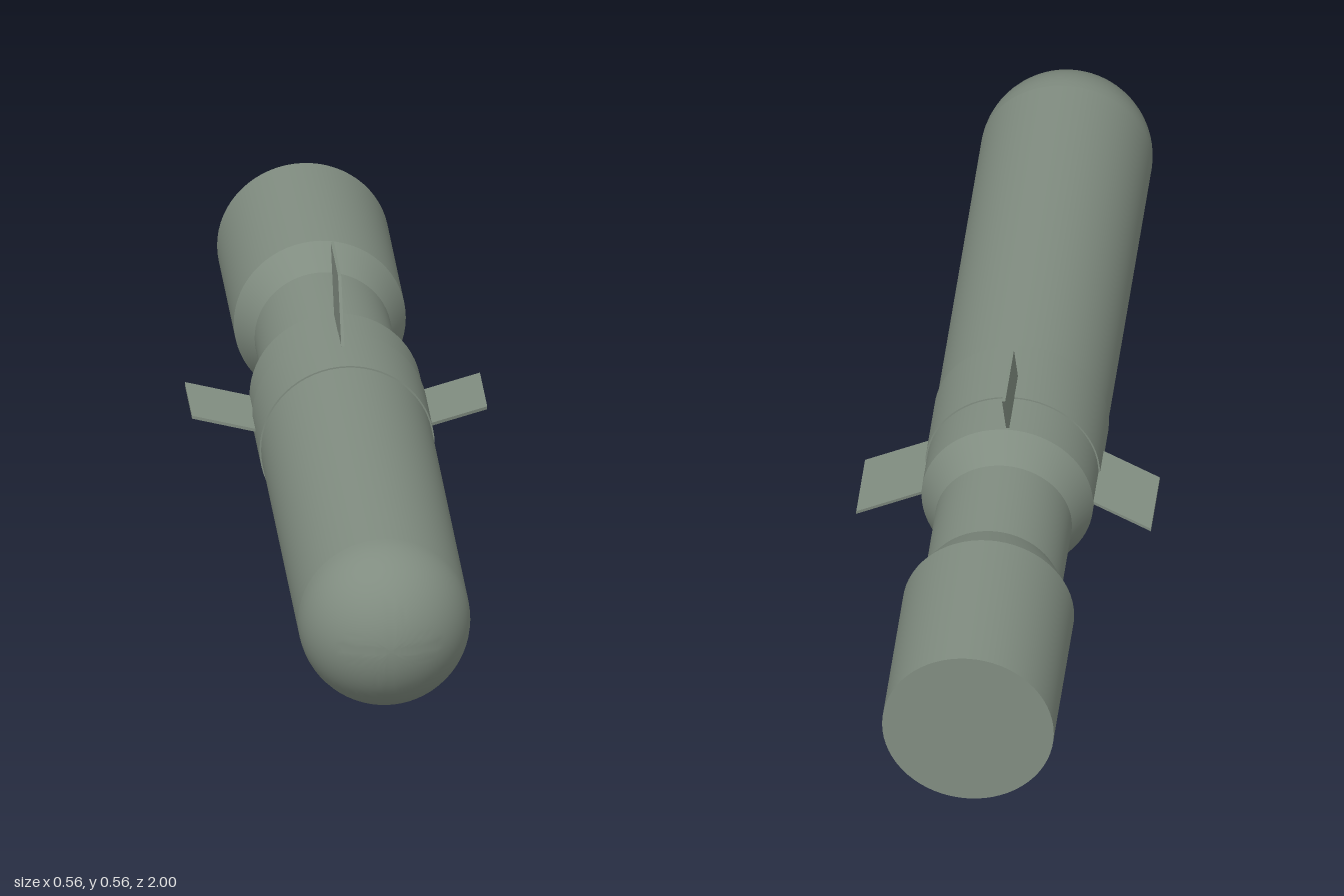
import * as THREE from 'three';
import { toCreasedNormals } from 'three/addons/utils/BufferGeometryUtils.js';

const AXIS_Y = 0.278, R = 0.162, NECK = 0.129;

export function createModel() {
  const model = new THREE.Group();
  model.name = 'finnedTube';
  const paint = new THREE.MeshStandardMaterial({ color: 0x808c80 });
  paint.name = 'greyGreenPaint';

  const body = new THREE.Group();
  body.name = 'assembly';
  body.position.y = AXIS_Y;
  model.add(body);

  // Revolve [radius, z] pairs, listed from back to front, about the z axis
  const turned = (name, profile) => {
    const geo = new THREE.LatheGeometry(profile.map(([r, z]) => new THREE.Vector2(r, z)), 64);
    geo.rotateX(Math.PI / 2);
    const mesh = new THREE.Mesh(toCreasedNormals(geo, 0.3), paint);
    mesh.name = name;
    body.add(mesh);
  };

  // Rear section with flat end, waisted neck and both tapers
  turned('rearSection', [[0, -1], [R, -1], [R, -0.62], [NECK, -0.545]]);
  turned('neck', [[NECK, -0.545], [NECK, -0.335]]);
  turned('frontTaper', [[NECK, -0.335], [R, -0.265]]);

  // Long forward barrel ending in a hemisphere
  turned('barrel', [[R, -0.265], [R, 1 - R]]);
  const dome = [];
  for (let i = 0; i <= 16; i++) {
    const a = (i / 16) * Math.PI / 2;
    dome.push([i === 16 ? 0 : R * Math.cos(a), 1 - R + R * Math.sin(a)]);
  }
  turned('nose', dome);

  // Thin raised collar around the barrel
  turned('collar', [[R - 0.004, -0.165], [0.165, -0.165], [0.165, 0], [R - 0.004, 0]]);

  // Four swept fins: outline in (radius, z), thin across
  const T = 0.006;
  const outline = new THREE.Shape([
    [0.15, -0.087], [0.278, -0.17], [0.278, -0.335], [0.15, -0.252],
  ].map(([r, z]) => new THREE.Vector2(r, z)));
  const finGeo = new THREE.ExtrudeGeometry(outline, { depth: T, bevelEnabled: false });
  finGeo.translate(0, 0, -T / 2);
  finGeo.rotateX(Math.PI / 2);
  ['leftFin', 'topFin', 'rightFin', 'bottomFin'].forEach((name, i) => {
    const fin = new THREE.Mesh(finGeo, paint);
    fin.name = name;
    fin.rotation.z = i * Math.PI / 2;
    body.add(fin);
  });

  return model;
}
